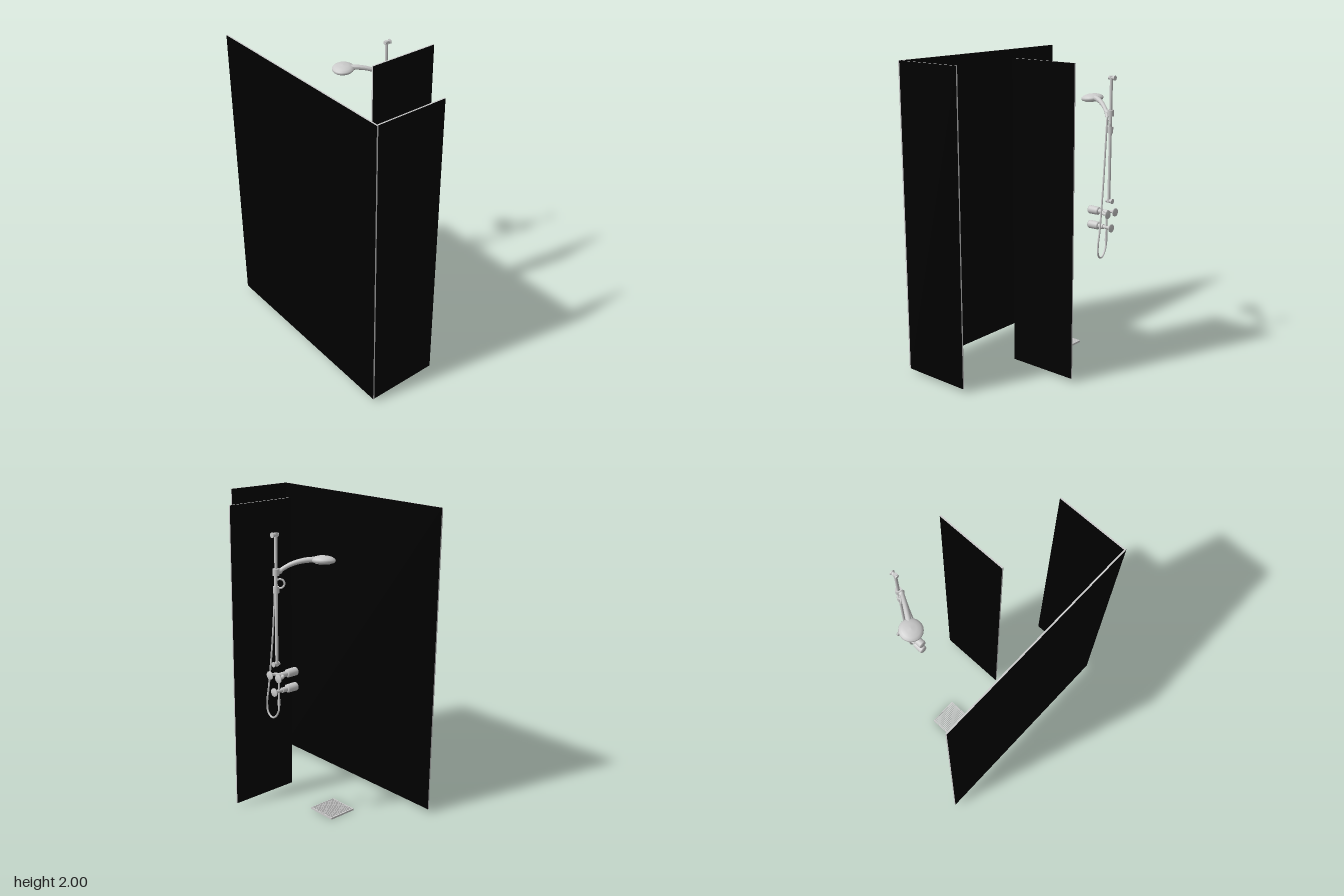
import * as THREE from 'three';

const metal = new THREE.MeshStandardMaterial({ color: 0xcccccc });
const dark = new THREE.MeshStandardMaterial({ color: 0x000000 });
const V = (x, y, z) => new THREE.Vector3(x, y, z);
const RAIL_X = 0.422, AXIS_Z = -0.23;

function add(parent, name, geometry, material = metal) {
  const mesh = new THREE.Mesh(geometry, material);
  mesh.name = name;
  parent.add(mesh);
  return mesh;
}

function box(parent, name, w, h, d, x, y, z, material) {
  const mesh = add(parent, name, new THREE.BoxGeometry(w, h, d), material);
  mesh.position.set(x, y, z);
  return mesh;
}

// Cylinder between two points
function rod(parent, name, a, b, r0, r1 = r0, sides = 20) {
  const dir = b.clone().sub(a);
  const mesh = add(parent, name, new THREE.CylinderGeometry(r1, r0, dir.length(), sides));
  mesh.position.copy(a).add(b).multiplyScalar(0.5);
  mesh.quaternion.setFromUnitVectors(V(0, 1, 0), dir.normalize());
  return mesh;
}

// Smooth tube whose radius follows a rule along its length
function pipe(parent, name, points, radiusAt, steps = 32, sides = 12) {
  const curve = new THREE.CatmullRomCurve3(points);
  const geo = new THREE.TubeGeometry(curve, steps, 1, sides);
  const pos = geo.attributes.position, p = V(0, 0, 0);
  for (let i = 0; i < pos.count; i++) {
    const t = Math.floor(i / (sides + 1)) / steps;
    const c = curve.getPointAt(t);
    p.fromBufferAttribute(pos, i).sub(c).multiplyScalar(radiusAt(t)).add(c);
    pos.setXYZ(i, p.x, p.y, p.z);
  }
  geo.computeVertexNormals();
  return add(parent, name, geo);
}

// Part turned around the x axis, profile given as [radius, x]
function turned(parent, name, profile, y, z, sides = 24) {
  const geo = new THREE.LatheGeometry(profile.map(([r, x]) => new THREE.Vector2(r, -x)), sides);
  geo.rotateZ(Math.PI / 2);
  const mesh = add(parent, name, geo);
  mesh.material = new THREE.MeshStandardMaterial({ color: 0xcccccc, side: THREE.DoubleSide });
  mesh.position.set(0, y, z);
  return mesh;
}

// Dark panes with pale narrow edges
function buildPanels(root) {
  const t = 0.01, h = 1.975, y = 0.025 + h / 2;
  const facingX = [dark, dark, metal, metal, metal, metal];
  const facingZ = [metal, metal, metal, metal, dark, dark];
  box(root, 'sidePanel', t, h, 1.44, -0.445, y, 0, facingX);
  box(root, 'frontPanel', 0.47, h, t, -0.205, y, 0.715, facingZ);
  box(root, 'dividerPanel', 0.475, h, t, 0.2115, y, 0.171, facingZ);
}

// Square floor grate
function buildDrain(root) {
  const drain = new THREE.Group();
  drain.name = 'floorDrain';
  drain.position.set(0.002, 0.006, -0.277);
  root.add(drain);
  const size = 0.197, rim = 0.005, h = 0.012, slats = 17;
  for (const s of [-1, 1]) {
    box(drain, 'drainRim', size, h, rim, 0, 0, s * (size - rim) / 2);
    box(drain, 'drainRim', rim, h, size, s * (size - rim) / 2, 0, 0);
  }
  const pitch = size / (slats + 1);
  for (let i = 1; i <= slats; i++)
    box(drain, 'drainSlat', size - rim, 0.008, pitch * 0.62, 0, 0, -size / 2 + i * pitch);
}

// Slide rail with wall brackets and sliding clamps
function buildRail(root) {
  const rail = new THREE.Group();
  rail.name = 'slideRail';
  root.add(rail);
  const at = (y, x = RAIL_X) => V(x, y, AXIS_Z);
  rod(rail, 'railBar', at(1.09), at(1.89), 0.0095);
  for (const y of [1.1, 1.878]) {
    rod(rail, 'railBracket', at(y, 0.405), at(y, 0.448), 0.012);
    rod(rail, 'railCollar', at(y - 0.012), at(y + 0.012), 0.0125);
    rod(rail, 'railWallPlate', at(y, 0.444), at(y, 0.451), 0.016);
  }
  rod(rail, 'upperClamp', at(1.64), at(1.68), 0.02);
  rod(rail, 'lowerClamp', at(1.535), at(1.575), 0.018);
  rod(rail, 'clampArm', at(1.66), V(0.388, 1.662, AXIS_Z), 0.014, 0.017);
  const ring = add(rail, 'clampRing', new THREE.TorusGeometry(0.027, 0.006, 10, 28));
  ring.position.set(0.402, 1.59, -0.24);
  ring.rotation.y = -Math.PI / 5;
}

// Hand shower: tapered handle and domed head
function buildHandShower(root) {
  const shower = new THREE.Group();
  shower.name = 'handShower';
  root.add(shower);
  pipe(shower, 'showerHandle', [
    V(0.412, 1.632, -0.208), V(0.388, 1.665, -0.23), V(0.33, 1.703, -0.269),
    V(0.265, 1.721, -0.312), V(0.205, 1.723, -0.352),
  ], t => 0.011 + 0.007 * t, 24, 14);
  const profile = [[0, -0.018], [0.055, -0.018], [0.066, -0.014], [0.073, -0.004],
    [0.07, 0.006], [0.056, 0.016], [0.033, 0.023], [0, 0.026]];
  const head = add(shower, 'showerHead',
    new THREE.LatheGeometry(profile.map(([r, y]) => new THREE.Vector2(r, y)), 24));
  head.position.set(0.178, 1.72, -0.368);
  head.rotation.set(0.05, 0, 0.08);
  const face = add(shower, 'sprayFace', new THREE.CylinderGeometry(0.05, 0.048, 0.005, 24));
  face.position.set(0.18, 1.701, -0.367);
  face.rotation.copy(head.rotation);
}

// Wall mixer with two knobs and a lower outlet
function buildMixer(root) {
  const mixer = new THREE.Group();
  mixer.name = 'mixer';
  root.add(mixer);
  const flange = [[0, 0.449], [0.026, 0.449], [0.026, 0.441], [0.021, 0.436], [0.012, 0.434], [0, 0.434]];
  const knob = [[0, 0.35], [0.018, 0.35], [0.026, 0.342], [0.027, 0.28], [0.024, 0.272], [0, 0.27]];
  const yTop = 1.02, yLow = 0.922;
  for (const s of [-1, 1]) {
    const z = AXIS_Z + s * 0.04;
    turned(mixer, 'inletFlange', flange, yTop, z);
    pipe(mixer, 'inletElbow', [V(0.44, yTop, z), V(0.415, yTop, z), V(0.4, yTop, z - s * 0.01),
      V(0.39, yTop, AXIS_Z)], () => 0.01, 16);
  }
  turned(mixer, 'outletFlange', flange, yLow, AXIS_Z);
  rod(mixer, 'outletStem', V(0.44, yLow, AXIS_Z), V(0.36, yLow, AXIS_Z), 0.011);
  rod(mixer, 'mixerBody', V(0.415, yTop, AXIS_Z), V(0.36, yTop, AXIS_Z), 0.017);
  for (const y of [yTop, yLow]) {
    turned(mixer, 'knob', knob, y, AXIS_Z);
    rod(mixer, 'knobNeck', V(0.385, y, AXIS_Z), V(0.345, y, AXIS_Z), 0.016);
  }
  rod(mixer, 'connectingPipe', V(0.408, yTop, AXIS_Z), V(0.408, 0.86, AXIS_Z), 0.007);
  rod(mixer, 'hoseNut', V(0.408, 0.87, AXIS_Z), V(0.408, 0.83, AXIS_Z), 0.008, 0.01);
}

// Flexible hose looping from the outlet up to the hand shower
function buildHose(root) {
  pipe(root, 'hose', [
    V(0.408, 0.85, -0.23), V(0.408, 0.79, -0.225), V(0.41, 0.745, -0.196), V(0.413, 0.734, -0.166),
    V(0.416, 0.758, -0.135), V(0.418, 0.82, -0.127), V(0.418, 0.92, -0.143), V(0.416, 1.05, -0.16),
    V(0.413, 1.25, -0.181), V(0.411, 1.45, -0.197), V(0.411, 1.58, -0.206), V(0.412, 1.64, -0.21),
  ], () => 0.006, 110, 10);
}

export function createModel() {
  const root = new THREE.Group();
  root.name = 'showerEnclosure';
  for (const build of [buildPanels, buildDrain, buildRail, buildHandShower, buildMixer, buildHose]) build(root);
  return root;
}
